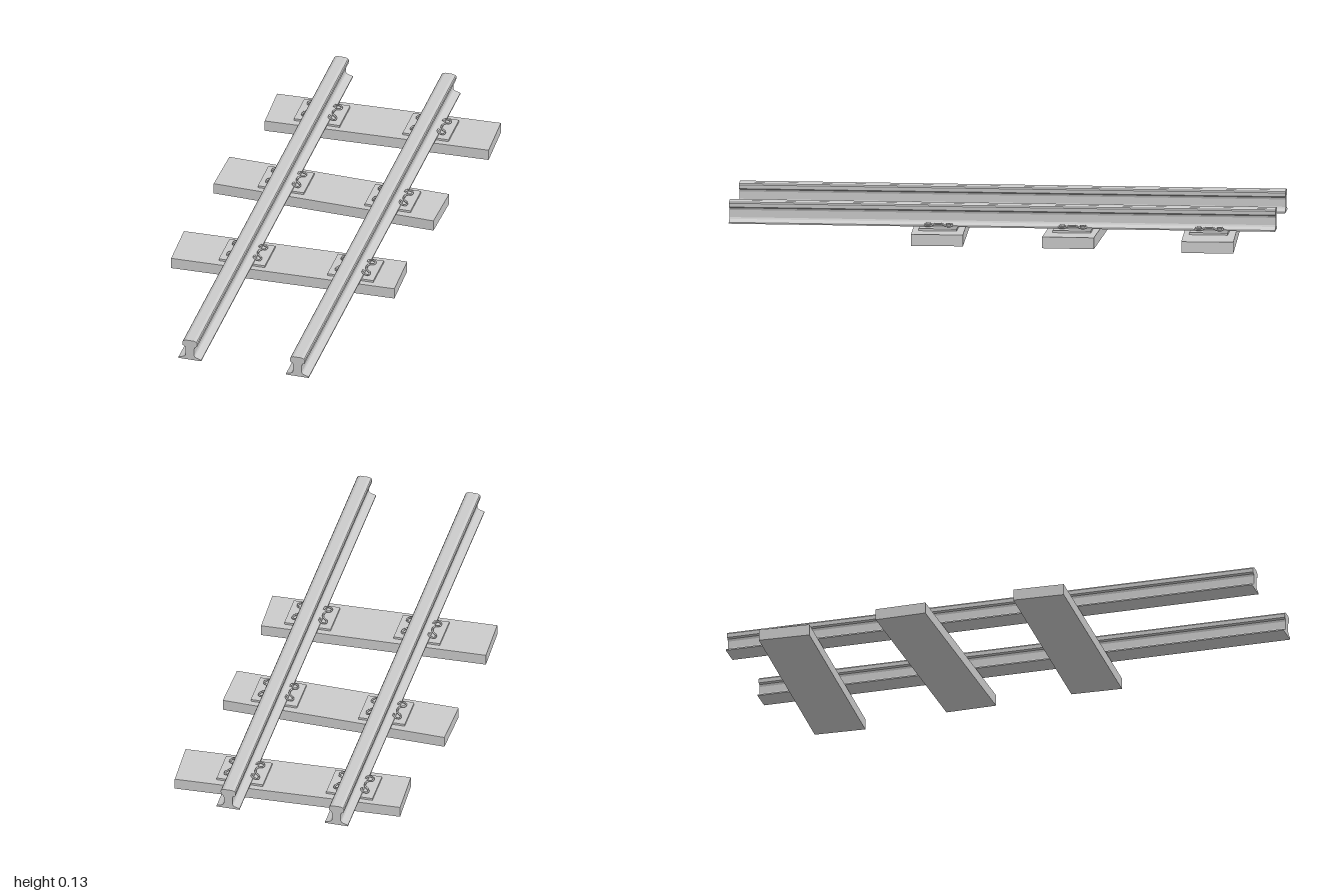
import * as THREE from 'three';

const material = new THREE.MeshStandardMaterial({ color: 0xcccccc });

function addMesh(parent, name, geometry, x = 0, y = 0, z = 0) {
  const mesh = new THREE.Mesh(geometry, material);
  mesh.name = name;
  mesh.position.set(x, y, z);
  parent.add(mesh);
  return mesh;
}

// Flat-bottomed rail: half profile mirrored, then extruded along z
function railGeometry() {
  const half = [
    [0.043, 0.05], [0.043, 0.055], [0.026, 0.06], [0.019, 0.064], [0.016, 0.07],
    [0.016, 0.097], [0.019, 0.105], [0.027, 0.109], [0.028, 0.123], [0.025, 0.128], [0.015, 0.132],
  ];
  const outline = [...half, ...half.slice().reverse().map(([x, y]) => [-x, y])];
  const shape = new THREE.Shape(outline.map(([x, y]) => new THREE.Vector2(x, y)));
  return new THREE.ExtrudeGeometry(shape, { depth: 2, bevelEnabled: false }).translate(0, 0, -1);
}

// Bent spring clip, shaped like a W and symmetric in z
function clipGeometry() {
  const half = [
    [0.037, 0.06, -0.027], [0.038, 0.061, -0.042], [0.05, 0.059, -0.05], [0.062, 0.056, -0.046],
    [0.062, 0.056, -0.03], [0.052, 0.059, -0.022], [0.044, 0.06, -0.012],
  ];
  const points = [...half, ...half.slice().reverse().map(([x, y, z]) => [x, y, -z])];
  const curve = new THREE.CatmullRomCurve3(points.map((p) => new THREE.Vector3(...p)));
  return new THREE.TubeGeometry(curve, 48, 0.0035, 6);
}

export function createModel() {
  const model = new THREE.Group();
  model.name = 'railwayTrack';

  const rails = [['rightRail', -0.195], ['leftRail', 0.213]];
  const rail = railGeometry();
  for (const [name, x] of rails) addMesh(model, name, rail, x);

  // Sleepers: centre x, centre z, slight turn
  const sleepers = [[0.033, -0.752, 0.042], [-0.022, -0.265, -0.025], [-0.037, 0.24, 0.032]];
  const sleeper = new THREE.BoxGeometry(0.84, 0.042, 0.19);
  const plate = new THREE.BoxGeometry(0.174, 0.008, 0.14);
  const clip = clipGeometry();
  for (const [cx, cz, turn] of sleepers) {
    addMesh(model, 'sleeper', sleeper, cx, 0.021, cz).rotation.y = turn;

    // Base plate with a clip on each side of the rail foot
    for (const [, x] of rails) {
      const fastening = new THREE.Group();
      fastening.name = 'railFastening';
      fastening.position.set(x, 0, cz - (x - cx) * Math.tan(turn));
      addMesh(fastening, 'basePlate', plate, 0, 0.046, 0);
      addMesh(fastening, 'leftClip', clip);
      addMesh(fastening, 'rightClip', clip).rotation.y = Math.PI;
      model.add(fastening);
    }
  }
  return model;
}
